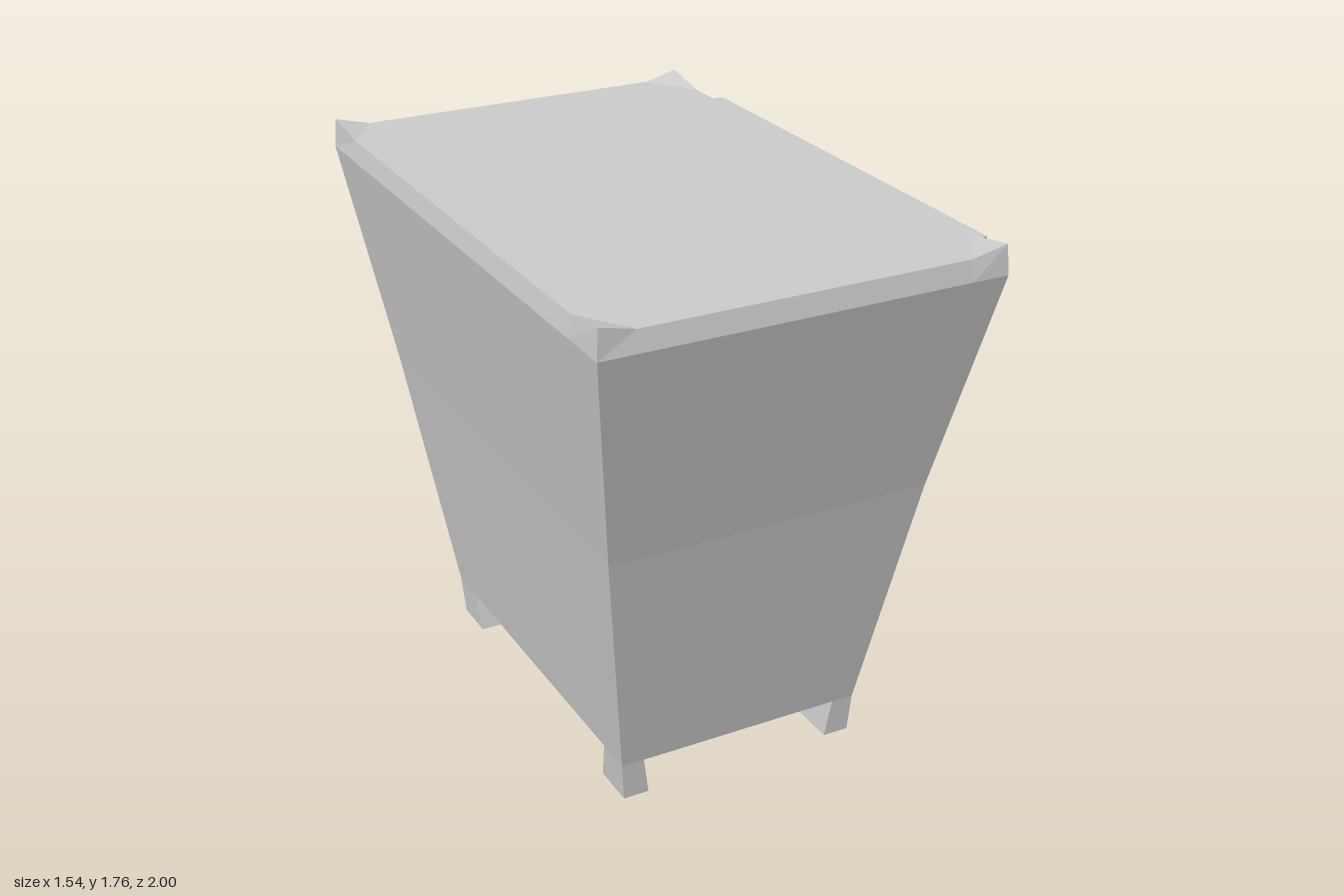
import * as THREE from 'three';

const material = new THREE.MeshStandardMaterial({ color: 0xcccccc, flatShading: true });

// Mesh from four-cornered faces, corners counter-clockwise from outside
function faceMesh(name, faces) {
  const pos = [];
  for (const [a, b, c, d] of faces) pos.push(...a, ...b, ...c, ...a, ...c, ...d);
  const geo = new THREE.BufferGeometry();
  geo.setAttribute('position', new THREE.Float32BufferAttribute(pos, 3));
  geo.computeVertexNormals();
  const mesh = new THREE.Mesh(geo, material);
  mesh.name = name;
  return mesh;
}

// Rectangle at height y, from x0 to x1 and zMin to zMax
const ring = (y, x0, x1, zMin, zMax) =>
  [[x0, y, zMax], [x1, y, zMax], [x1, y, zMin], [x0, y, zMin]];

// Side faces between two rings
const wall = (b, t, i) => {
  const j = (i + 1) % b.length;
  return [b[i], b[j], t[j], t[i]];
};

// Closed block between a bottom and a top ring
const block = (name, b, t) =>
  faceMesh(name, [...b.map((_, i) => wall(b, t, i)), t, [...b].reverse()]);

// Flared outline of the cabinet: height, back x, front x, half width
const outline = [
  [0.13, -0.545, 0.285, 0.645],
  [0.95, -0.66, 0.4, 0.815],
  [1.67, -0.77, 0.51, 1.0],
];
function at(y) {
  const k = y <= outline[1][0] ? 0 : 1;
  const [p, q] = [outline[k], outline[k + 1]];
  const f = (y - p[0]) / (q[0] - p[0]);
  return { back: p[1] + f * (q[1] - p[1]), front: p[2] + f * (q[2] - p[2]), half: p[3] + f * (q[3] - p[3]) };
}

function cabinetBody() {
  const faces = [];
  const rings = outline.map(([y, b, f, h]) => ring(y, b, f, -h, h));
  faces.push([...rings[0]].reverse());
  for (let k = 0; k < 2; k++) for (const i of [0, 2, 3]) faces.push(wall(rings[k], rings[k + 1], i));

  // Front frame and the two recesses: [bottom, top, half width below, half width above]
  const holes = [[0.235, 0.925, 0.54, 0.655], [1.02, 1.64, 0.67, 0.79]];
  const point = (y, z) => [at(y).front, y, z];
  const strip = (y0, y1, a0, b0, a1, b1) =>
    faces.push([point(y0, a0), point(y0, b0), point(y1, b1), point(y1, a1)]);
  for (const [y0, y1] of [[0.13, 0.235], [0.925, 0.95], [0.95, 1.02], [1.64, 1.67]]) {
    const [h0, h1] = [at(y0).half, at(y1).half];
    strip(y0, y1, h0, -h0, h1, -h1);
  }
  for (const [y0, y1, w0, w1] of holes) {
    const [h0, h1] = [at(y0).half, at(y1).half];
    strip(y0, y1, h0, w0, h1, w1);
    strip(y0, y1, -w0, -h0, -w1, -h1);
    const front = [point(y0, w0), point(y0, -w0), point(y1, -w1), point(y1, w1)];
    const rear = front.map(([, y, z]) => [at(y).back + 0.06, y, z]);
    for (let i = 0; i < 4; i++) faces.push(wall(front, rear, i));
    faces.push(rear);
  }
  return faceMesh('cabinetBody', faces);
}

// Top with upturned corners and a narrow rim below it
function cabinetTop() {
  const xs = [-0.77, -0.65, 0.39, 0.51], zs = [1, 0.82, -0.82, -1];
  const faces = [];
  const top = (i, j) => {
    const ex = i % 3 === 0, ez = j % 3 === 0;
    const inset = ex && ez ? 0.006 : 0.012;
    return [
      xs[i] - (ex ? Math.sign(i - 1.5) * inset : 0),
      ex && ez ? 1.763 : 1.735,
      zs[j] + (ez ? Math.sign(j - 1.5) * inset : 0),
    ];
  };
  for (let i = 0; i < 3; i++) for (let j = 0; j < 3; j++) {
    const q = [top(i, j), top(i, j + 1), top(i + 1, j + 1), top(i + 1, j)].reverse();
    // Split corner squares across the fold
    faces.push((i + j) % 2 || i === j ? q : [q[1], q[2], q[3], q[0]]);
  }
  const edge = [];
  for (let k = 0; k < 3; k++) edge.push([k, 0]);
  for (let k = 0; k < 3; k++) edge.push([3, k]);
  for (let k = 3; k > 0; k--) edge.push([k, 3]);
  for (let k = 3; k > 0; k--) edge.push([0, k]);
  const upper = edge.map(([i, j]) => top(i, j));
  const lower = edge.map(([i, j]) => [xs[i], 1.67, zs[j]]);
  edge.forEach((_, i) => faces.push(wall(lower, upper, i)));
  return faceMesh('cabinetTop', faces);
}

// Legs: inner faces splay slightly toward the ground
function legs() {
  const group = new THREE.Group();
  group.name = 'legs';
  for (const [b0, b1, t0, t1] of [[-0.535, -0.45, -0.545, -0.47], [0.19, 0.276, 0.21, 0.285]]) {
    for (const s of [1, -1]) {
      const span = (a, b) => (s > 0 ? [a, b] : [-b, -a]);
      group.add(block('leg', ring(0, b0, b1, ...span(0.485, 0.635)), ring(0.13, t0, t1, ...span(0.52, 0.645))));
    }
  }
  return group;
}

function drawer() {
  const group = new THREE.Group();
  group.name = 'drawer';
  // Tilted front panel with slightly bevelled ends
  const panel = (y, x0, x1, zMin, zMax) =>
    [[x0, y, zMax + 0.015], [x1, y, zMax], [x1, y, zMin], [x0, y, zMin - 0.015]];
  group.add(block('drawerFront', panel(1.02, 0.455, 0.505, -0.675, 0.65), panel(1.698, 0.545, 0.595, -0.802, 0.777)));

  // Open box behind the panel
  const [y0, y1, x0, x1, xb] = [1.025, 1.58, 0.458, 0.531, -0.55];
  for (const s of [1, -1]) {
    const span = (w) => (s > 0 ? [w - 0.06, w] : [-w, 0.06 - w]);
    group.add(block('drawerSide', ring(y0, xb, x0, ...span(0.65)), ring(y1, xb, x1, ...span(0.76))));
  }
  group.add(block('drawerFloor', ring(y0, xb, x0, -0.6, 0.6), ring(y0 + 0.05, xb, x0 + 0.006, -0.61, 0.61)));
  group.add(block('drawerBack', ring(y0, xb, xb + 0.05, -0.6, 0.6), ring(y1, xb, xb + 0.05, -0.71, 0.71)));
  return group;
}

// Bowed pull, thick at its feet and thin in the middle
function handle() {
  // x, y, z, half thickness, half height
  const half = [
    [0.53, 1.335, 0.268, 0.038, 0.058],
    [0.605, 1.335, 0.268, 0.036, 0.055],
    [0.65, 1.335, 0.245, 0.034, 0.036],
    [0.725, 1.342, 0.16, 0.03, 0.042],
    [0.74, 1.348, 0.1, 0.016, 0.036],
    [0.757, 1.355, 0, 0.014, 0.027],
  ];
  const path = [...half, ...half.slice(0, -1).reverse().map(([x, y, z, a, b]) => [x, y, -z, a, b])];
  const sides = 8;
  const rings = path.map(([x, y, z, a, b], k) => {
    const p = path[Math.max(k - 1, 0)], q = path[Math.min(k + 1, path.length - 1)];
    const dx = q[0] - p[0], dz = q[2] - p[2], len = Math.hypot(dx, dz);
    return Array.from({ length: sides }, (_, i) => {
      const t = ((i + 0.5) / sides) * Math.PI * 2;
      const u = a * Math.cos(t) * 1.08;
      return [x - (dz / len) * u, y + b * Math.sin(t) * 1.08, z + (dx / len) * u];
    });
  });
  const faces = [];
  for (let k = 0; k < rings.length - 1; k++)
    for (let i = 0; i < sides; i++) faces.push(wall(rings[k], rings[k + 1], i).reverse());
  return faceMesh('handle', faces);
}

export function createModel() {
  const model = new THREE.Group();
  model.name = 'nightstand';
  model.add(cabinetBody(), cabinetTop(), legs(), drawer(), handle());
  return model;
}
